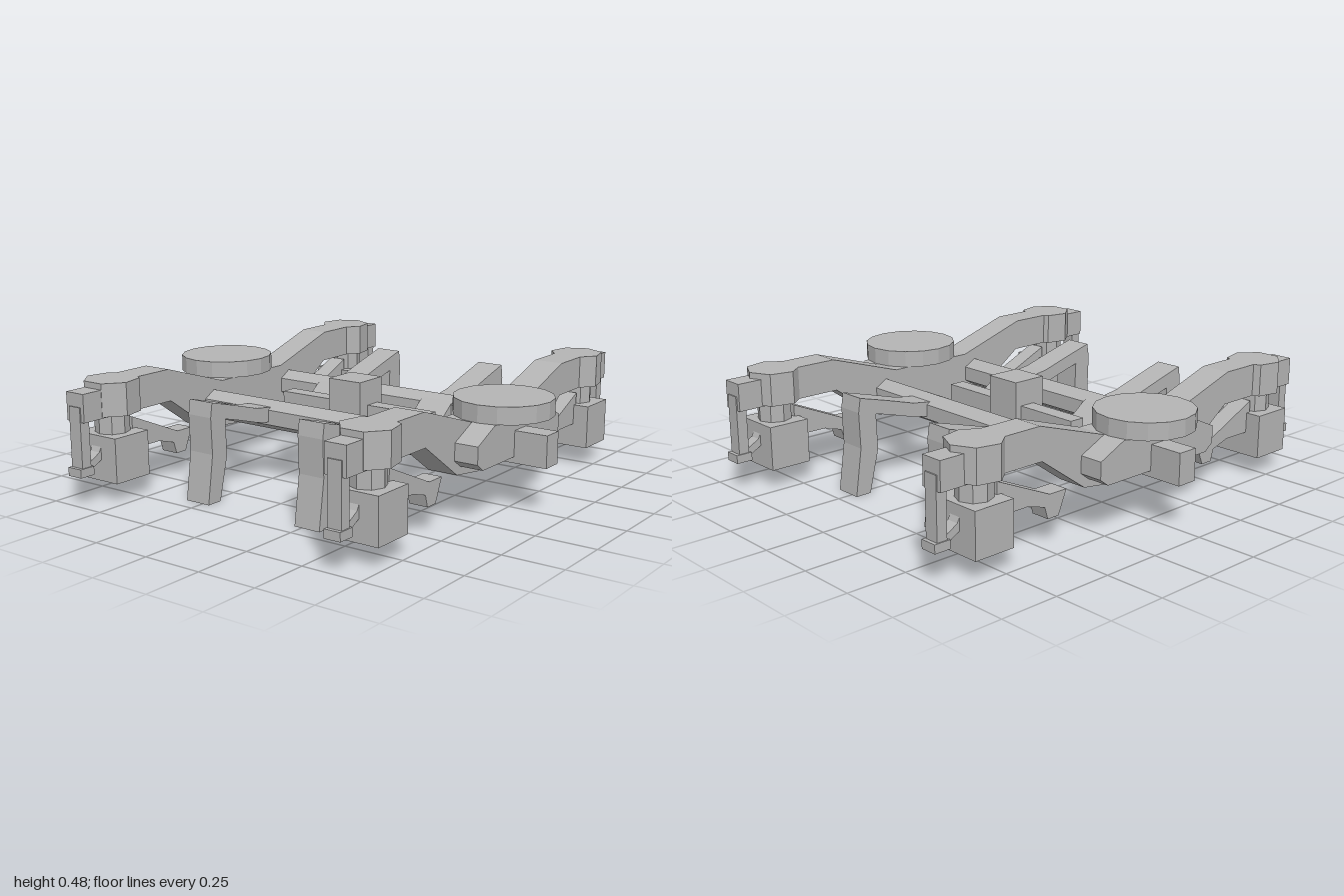
import * as THREE from 'three';

export function createModel() {
  const model = new THREE.Group();
  model.name = 'railTruckFrame';
  const steel = new THREE.MeshStandardMaterial({ color: 0xb4b4b4, flatShading: true });
  steel.name = 'greySteel';

  const add = (name, geometry, x = 0, y = 0, z = 0) => {
    const mesh = new THREE.Mesh(geometry, steel);
    mesh.name = name;
    mesh.position.set(x, y, z);
    model.add(mesh);
    return mesh;
  };
  // box given by its limits
  const box = (name, x0, x1, y0, y1, z0, z1) =>
    add(name, new THREE.BoxGeometry(Math.abs(x1 - x0), y1 - y0, Math.abs(z1 - z0)),
      (x0 + x1) / 2, (y0 + y1) / 2, (z0 + z1) / 2);
  // side profile of [z, y] points, extruded across x; end = -1 mirrors it front to back
  const plate = (name, points, x, width, end = 1) => {
    const shape = new THREE.Shape(points.map(([z, y]) => new THREE.Vector2(z * end, y)));
    const g = new THREE.ExtrudeGeometry(shape, { depth: width, bevelEnabled: false });
    g.rotateY(-Math.PI / 2);
    g.translate(width / 2, 0, 0);
    return add(name, g, x);
  };
  // completes a half profile by mirroring it front to back
  const both = (half) => [...half, ...half.map(([z, y]) => [-z, y]).reverse()];

  const frameHalf = [[0.2, 0.375], [0.53, 0.48], [0.82, 0.48], [0.82, 0.345],
    [0.52, 0.345], [0.3, 0.19], [0.15, 0.17]];
  const bolsterHalf = [[0.2, 0.375], [0.32, 0.32], [0.32, 0.25], [0.28, 0.22]];
  const slingHalf = [[0.24, 0.33], [0.24, 0.25], [0.18, 0.24], [0.08, 0.165]];
  const slingTop = [[-0.2, 0.32], [-0.16, 0.29], [-0.07, 0.225], [0.07, 0.225], [0.16, 0.29], [0.2, 0.32]];
  const lever = [[0.27, 0.32], [0.38, 0.335], [0.52, 0.375], [0.65, 0.41], [0.66, 0.35], [0.655, 0.2],
    [0.685, 0], [0.615, 0], [0.57, 0.18], [0.575, 0.33], [0.5, 0.31], [0.38, 0.275], [0.27, 0.255]];
  const brakeArm = [[0.72, 0.315], [0.46, 0.2], [0.375, 0.2], [0.415, 0.105], [0.47, 0.105],
    [0.485, 0.155], [0.57, 0.18], [0.72, 0.18]];
  const hangerStay = [[0.95, 0.13], [0.86, 0.18], [0.86, 0.26], [0.89, 0.2], [0.95, 0.165]];

  for (const s of [-1, 1]) {
    // side frame with its outer pad and round bearing plate
    plate('sideFrame', both(frameHalf), s * 0.627, 0.127);
    plate('bolsterPad', both(bolsterHalf), s * 0.68, 0.22);
    add('bearingPlate', new THREE.CylinderGeometry(0.2, 0.2, 0.07, 16), s * 0.713, 0.41, 0);
    box('sideStop', s * 0.7, s * 0.93, 0.195, 0.325, -0.045, 0.045);
    // sling between the two cross beams
    plate('sling', [...slingHalf, ...slingHalf.map(([z, y]) => [-z, y]).reverse(), ...slingTop], s * 0.275, 0.15);

    for (const e of [-1, 1]) {
      const x = s * 0.63;
      // axle box and its suspension column
      box('axleBox', x - 0.107, x + 0.107, 0.08, 0.265, e * 0.7, e * 0.88);
      add('springColumn', new THREE.CylinderGeometry(0.07, 0.07, 0.12, 8), x, 0.31, e * 0.79);
      const cap = add('springCap', new THREE.CylinderGeometry(0.112, 0.112, 0.135, 7), x, 0.4125, e * 0.785);
      cap.rotation.y = Math.PI / 7;
      // end bracket and hanger
      box('endBracket', x - 0.047, x + 0.047, 0.34, 0.455, e * 0.85, e * 0.98);
      box('endHanger', x - 0.03, x + 0.03, 0.12, 0.4, e * 0.94, e * 0.985);
      box('hangerFoot', x - 0.035, x + 0.035, 0.12, 0.155, e * 0.93, e);
      plate('hangerStay', hangerStay, x, 0.05, e);
      // brake parts
      plate('brakeArm', brakeArm, x, 0.08, e);
      plate('brakeLever', lever, s * 0.275, 0.117, e);
    }
  }

  // hexagonal cross beams
  for (const e of [-1, 1]) {
    const g = new THREE.CylinderGeometry(0.0625, 0.0625, 1.58, 6);
    g.rotateY(Math.PI / 6);
    g.rotateZ(Math.PI / 2);
    g.rotateX(Math.PI / 6);
    g.computeBoundingBox();
    // keep a ridge on top
    if (g.boundingBox.max.y < 0.06) g.rotateX(Math.PI / 6);
    add('crossBeam', g, 0, 0.2825, e * 0.256);
  }

  // centre bar and pivot block
  box('centreBar', -0.37, 0.37, 0.245, 0.32, -0.05, 0.02);
  box('pivotBlock', -0.08, 0.08, 0.23, 0.425, -0.08, 0.075);
  return model;
}
